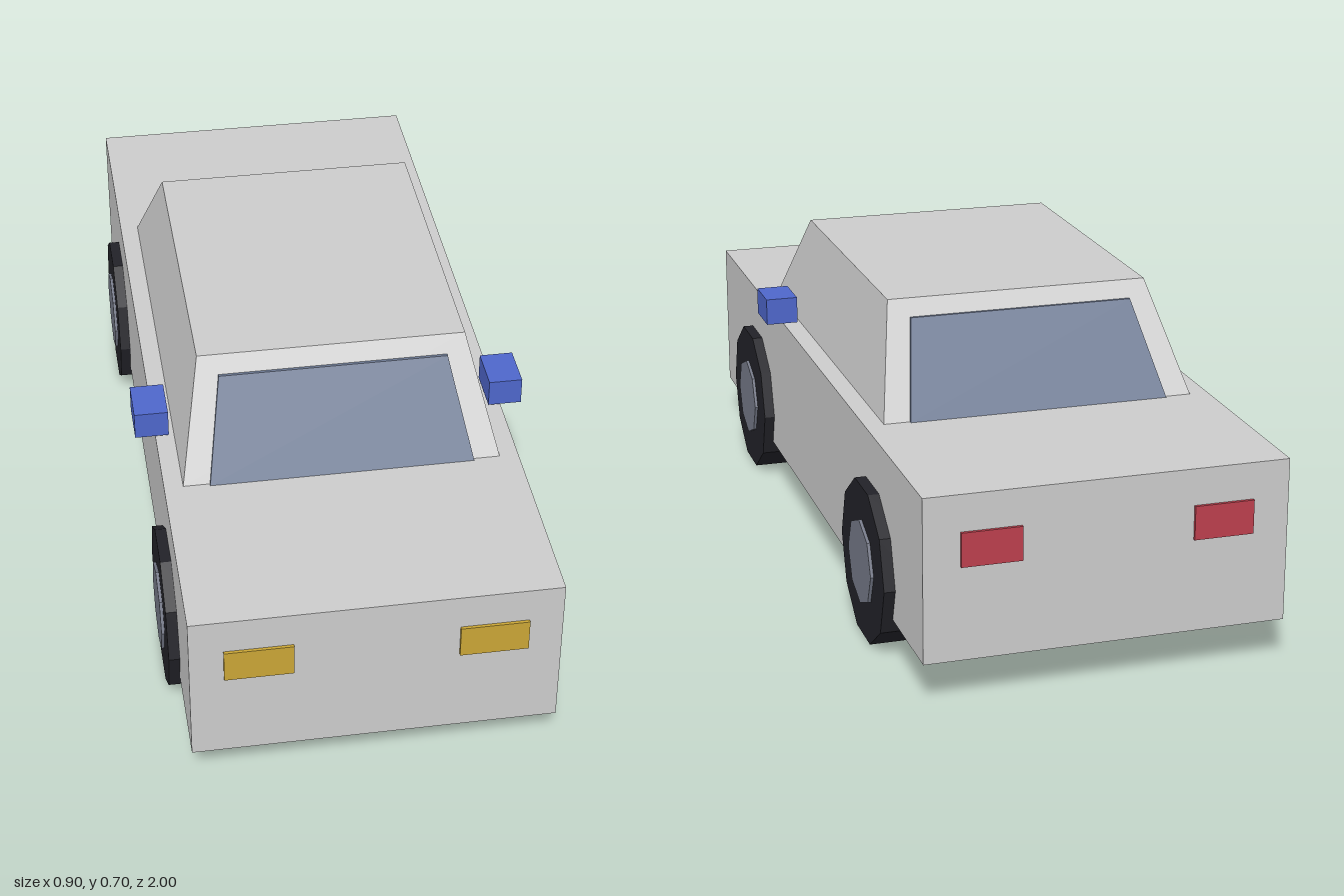
import * as THREE from 'three';

const paint = (color) => new THREE.MeshStandardMaterial({ color, flatShading: true });

// Box whose vertices are moved by a rule; t is 0 at the bottom and 1 at the top
function shapedBox(w, h, d, rule) {
  const geo = new THREE.BoxGeometry(w, h, d);
  const p = geo.attributes.position;
  const v = new THREE.Vector3();
  for (let i = 0; i < p.count; i++) {
    v.fromBufferAttribute(p, i);
    rule(v, v.y / h + 0.5);
    p.setXYZ(i, v.x, v.y, v.z);
  }
  geo.computeVertexNormals();
  return geo;
}

export function createModel() {
  const car = new THREE.Group();
  car.name = 'car';

  const grey = paint(0xcccccc);
  const glass = paint(0x6b7891);
  const tyreMat = paint(0x222228);
  const hubMat = paint(0x757988);
  const mirrorMat = paint(0x4e66ca);
  const headMat = paint(0xc9a536);
  const tailMat = paint(0xbb3f4d);

  const add = (name, geo, mat, x, y, z) => {
    const mesh = new THREE.Mesh(geo, mat);
    mesh.name = name;
    mesh.position.set(x, y, z);
    car.add(mesh);
    return mesh;
  };

  // Lower body
  const top = 0.468;
  add('body', new THREE.BoxGeometry(0.806, top - 0.1, 1.986), grey, 0, (top + 0.1) / 2, 0);

  // Cabin, narrowing towards the roof on all sides
  const cabinH = 0.234, baseZ = 0.535, roofZ = 0.37;
  const cabin = shapedBox(0.72, cabinH, baseZ * 2, (v, t) => {
    v.x *= THREE.MathUtils.lerp(1, 0.305 / 0.36, t);
    v.z *= THREE.MathUtils.lerp(1, roofZ / baseZ, t);
  });
  add('cabin', cabin, grey, 0, top + cabinH / 2, 0);

  // Front and rear windows, thin slabs leaning with the cabin slopes
  const glassH = 0.197;
  const lean = (baseZ - roofZ) * (glassH / cabinH);
  const pane = shapedBox(0.6, glassH, 0.014, (v, t) => {
    v.x *= THREE.MathUtils.lerp(1, 0.26 / 0.3, t);
    v.z -= lean * t;
  });
  add('windscreen', pane, glass, 0, top + glassH / 2, baseZ);
  add('rearWindow', pane, glass, 0, top + glassH / 2, -baseZ).rotation.y = Math.PI;

  // Wheels, mirrors and lights, mirrored left and right
  const tyre = new THREE.CylinderGeometry(0.185, 0.185, 0.082, 10).rotateZ(Math.PI / 2);
  const hub = new THREE.CylinderGeometry(0.0985, 0.0985, 0.09, 8).rotateZ(Math.PI / 2);
  const mirror = new THREE.BoxGeometry(0.077, 0.064, 0.108);
  const headlight = new THREE.BoxGeometry(0.15, 0.076, 0.02);
  const taillight = new THREE.BoxGeometry(0.133, 0.076, 0.02);

  for (const [side, s] of [['left', 1], ['right', -1]]) {
    for (const [end, z] of [['Front', 0.593], ['Rear', -0.593]]) {
      add(`${side}${end}Tyre`, tyre, tyreMat, s * 0.387, 0.176, z);
      add(`${side}${end}Hub`, hub, hubMat, s * 0.39, 0.176, z);
    }
    add(`${side}Mirror`, mirror, mirrorMat, s * 0.411, 0.508, 0.3);
    add(`${side}Headlight`, headlight, headMat, s * 0.254, 0.348, 0.99);
    add(`${side}Taillight`, taillight, tailMat, s * 0.256, 0.348, -0.99);
  }
  return car;
}
